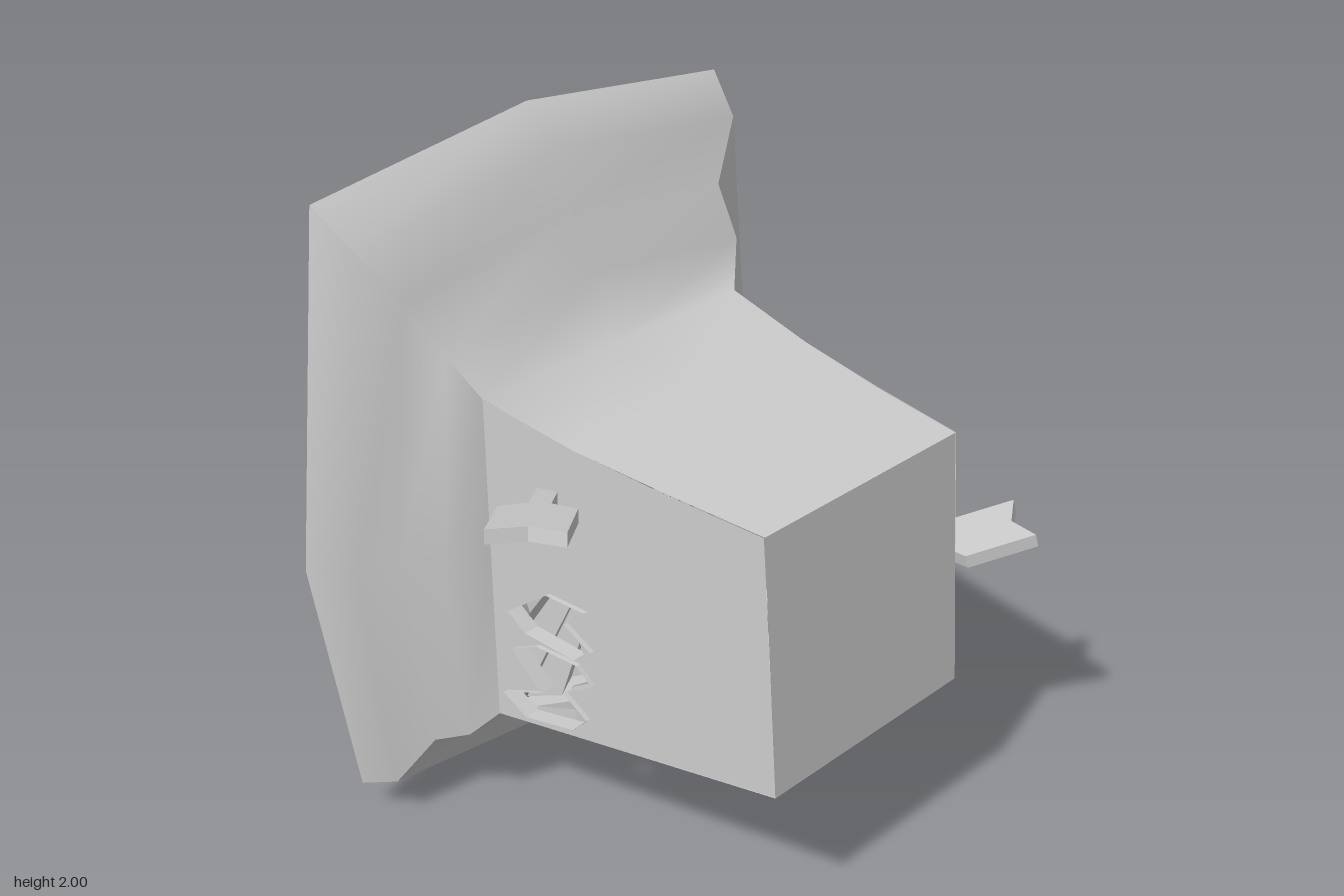
import * as THREE from 'three';

const smooth = new THREE.MeshStandardMaterial({ color: 0xcccccc, side: THREE.DoubleSide });
const flat = new THREE.MeshStandardMaterial({ color: 0xcccccc, side: THREE.DoubleSide, flatShading: true });

function mesh(name, geometry, material) {
  const m = new THREE.Mesh(geometry, material);
  m.name = name;
  return m;
}

// Surface through rows of points
function loft(rows) {
  const n = rows[0].length, index = [];
  for (let r = 0; r < rows.length - 1; r++)
    for (let i = 0; i < n - 1; i++) {
      const a = r * n + i, b = a + n;
      index.push(a, b, a + 1, a + 1, b, b + 1);
    }
  const g = new THREE.BufferGeometry();
  g.setAttribute('position', new THREE.Float32BufferAttribute(rows.flat(2), 3));
  g.setIndex(index);
  g.computeVertexNormals();
  return g;
}

// Flat panel with torn holes, placed on a sloped wall by place(u, v, offset)
function tornPanel(name, outline, holes, place) {
  const group = new THREE.Group();
  group.name = name;
  const vec = (pts) => pts.map(([u, v]) => new THREE.Vector2(u, v));
  const shape = new THREE.Shape(vec(outline));
  holes.forEach((h) => shape.holes.push(new THREE.Path(vec(h))));
  const g = new THREE.ShapeGeometry(shape);
  const p = g.attributes.position;
  for (let i = 0; i < p.count; i++) p.setXYZ(i, ...place(p.getX(i), p.getY(i), 0));
  g.computeVertexNormals();
  group.add(mesh('wall', g, flat));
  for (const h of holes) {
    const ring = [...h, h[0]];
    group.add(mesh('tornEdge', loft([-0.035, 0.015].map((d) => ring.map(([u, v]) => place(u, v, d)))), flat));
  }
  return group;
}

// Flat arrow with a notched tail, running from the tail point along a direction
function arrow(name, tail, dir) {
  const half = [[0, 0.105], [0.21, 0.105], [0.25, 0.03], [0.85, 0.03]];
  const pts = [[0.04, 0], ...half, ...half.slice().reverse().map(([x, y]) => [x, -y])];
  const g = new THREE.ExtrudeGeometry(new THREE.Shape(pts.map(([x, y]) => new THREE.Vector2(x, y))),
    { depth: 0.04, bevelEnabled: false });
  g.translate(0, 0, -0.02);
  const d = new THREE.Vector3(...dir).normalize();
  const side = new THREE.Vector3(0, 1, 0).cross(d).normalize();
  const up = d.clone().cross(side);
  g.applyMatrix4(new THREE.Matrix4().makeBasis(d, side, up).setPosition(...tail));
  return mesh(name, g, flat);
}

// Faceted sheet fanning out from an apex to a jagged U-shaped rim
function fan(name, apex, zNear, zFar) {
  const rim = [];
  for (const y of [0.84, 0.73, 0.62, 0.51]) rim.push([0.46, y]);
  for (let i = 0; i <= 10; i++) rim.push([0.44 - i * 0.088, i % 10 ? 0.4 : 0.42]);
  for (const y of [0.51, 0.62, 0.73, 0.84]) rim.push([-0.46, y]);
  const pts = rim.map(([x, y], i) => [x, y, i % 2 ? zNear : zFar]);
  return mesh(name, loft([pts.map(() => apex), pts]), flat);
}

export function createModel() {
  const model = new THREE.Group();

  // Flare rings: z, corner x, corner top y, corner bottom y, middle x, middle top y, middle bottom y
  const rings = [
    [-0.355, 0.5, 1.37, 0.365, 0.5, 1.37, 0.365],
    [-0.41, 0.57, 1.5, 0.3, 0.62, 1.57, 0.27],
    [-0.52, 0.61, 1.63, 0.25, 0.69, 1.72, 0.19],
    [-0.565, 0.725, 1.8, 0.14, 0.8, 1.89, 0.06],
    [-0.68, 0.765, 1.91, 0.1, 0.89, 2.0, 0.0],
  ];
  const topBox = [[0.55, 0.39, 1.25], [0.25, 0.425, 1.275], [-0.05, 0.465, 1.31]]
    .map(([z, x, y]) => [[x, y, z], [0, y, z], [-x, y, z]]);
  model.add(mesh('topWall', loft([...topBox,
    ...rings.map(([z, x, t, b, mx, mt]) => [[x, t, z], [0, mt, z], [-x, t, z]])]), smooth));
  model.add(mesh('bottomFlare', loft(
    rings.map(([z, x, t, b, mx, mt, mb]) => [[-x, b, z], [0, mb, z], [x, b, z]])), smooth));
  for (const s of [1, -1])
    model.add(mesh(s > 0 ? 'leftFlare' : 'rightFlare', loft(
      rings.map(([z, x, t, b, mx]) => [[s * x, b, z], [s * mx, 0.88, z], [s * x, t, z]])), smooth));

  // Closed front end, leaning slightly
  model.add(mesh('frontWall', loft([
    [[-0.39, 1.25, 0.55], [0.39, 1.25, 0.55]],
    [[-0.39, 0.48, 0.6], [0.39, 0.48, 0.6]]]), flat));

  // Side walls with two torn holes each
  const sideOutline = [[0.6, 0.48], [0.55, 1.25], [0.25, 1.275], [-0.05, 1.31], [-0.355, 1.37], [-0.355, 0.365]];
  const sideHoles = [
    [[-0.02, 0.83], [-0.15, 0.84], [-0.29, 0.74], [-0.23, 0.69], [-0.06, 0.665], [0, 0.71], [-0.09, 0.77]],
    [[-0.05, 0.65], [-0.19, 0.66], [-0.28, 0.62], [-0.18, 0.51], [-0.32, 0.46], [-0.24, 0.405],
      [-0.07, 0.43], [-0.02, 0.48], [-0.1, 0.54], [0, 0.6]],
  ];
  for (const s of [1, -1])
    model.add(tornPanel(s > 0 ? 'leftWall' : 'rightWall', sideOutline, sideHoles,
      (z, y, d) => [s * (0.39 + (0.58 - z) * 0.118 + d), y, z]));

  // Floor with a row of torn holes
  const floorOutline = [[-0.39, 0.6], [0.39, 0.6], [0.5, -0.355], [-0.5, -0.355]];
  const floorHoles = [];
  for (const s of [1, -1]) {
    floorHoles.push([[0.06, -0.14], [0.12, -0.05], [0.2, -0.02], [0.3, -0.08], [0.26, -0.15],
      [0.31, -0.25], [0.2, -0.2], [0.13, -0.27]].map(([x, z]) => [s * x, z]));
    floorHoles.push([[0.34, -0.16], [0.43, -0.05], [0.4, -0.14], [0.45, -0.25]].map(([x, z]) => [s * x, z]));
  }
  model.add(tornPanel('floor', floorOutline, floorHoles,
    (x, z, d) => [x, 0.48 - (0.6 - z) * 0.12 - d, z]));

  // Faceted sheets inside, joining the torn edges
  model.add(fan('rearInnerSheet', [0, 0.95, -0.29], -0.25, -0.3));
  model.add(fan('frontInnerSheet', [0, 1.13, -0.12], -0.06, -0.01));

  // Arrows stuck in both sides
  model.add(arrow('rightArrow', [-0.765, 1.225, 0.085], [0.285, -0.08, -0.225]));
  model.add(arrow('leftArrow', [0.715, 0.85, 0.585], [-0.3, -0.09, -0.225]));
  return model;
}
